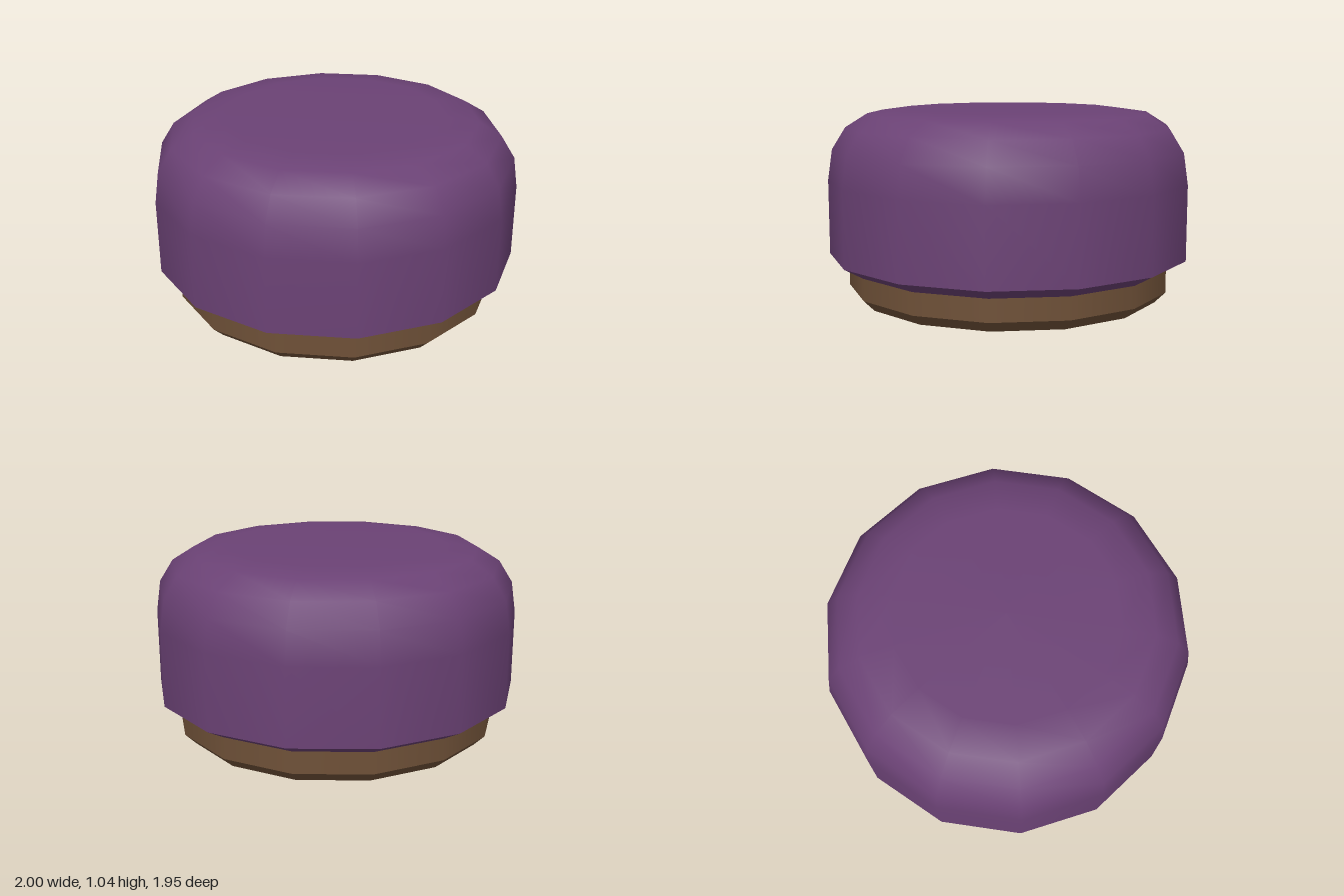
import * as THREE from 'three';

const SIDES = 14;
const purple = new THREE.MeshStandardMaterial({ color: 0x6b4275 });
const brown = new THREE.MeshStandardMaterial({ color: 0x6f5138 });

// Smooth band turned from a bottom-to-top profile, with a corner on the x axis
function band(name, profile, material) {
  const points = profile.map(([r, y]) => new THREE.Vector2(r, y));
  const geometry = new THREE.LatheGeometry(points, SIDES).rotateY(Math.PI / 2);
  const mesh = new THREE.Mesh(geometry, material);
  mesh.name = name;
  return mesh;
}

// Downward-facing piece of the bottom, spanning rim corners first..last
function bottomPiece(name, radius, first, last, material) {
  const corners = [];
  for (let i = first; i <= last; i++) {
    const a = (i / SIDES) * Math.PI * 2;
    corners.push(new THREE.Vector2(radius * Math.cos(a), radius * Math.sin(a)));
  }
  const geometry = new THREE.ShapeGeometry(new THREE.Shape(corners)).rotateX(Math.PI / 2);
  const mesh = new THREE.Mesh(geometry, material);
  mesh.name = name;
  return mesh;
}

export function createModel() {
  const model = new THREE.Group();
  model.name = 'pouf';

  // Padded cushion: rounded top and sides, then a sharp bevel underneath
  const cushion = new THREE.Group();
  cushion.name = 'cushion';
  cushion.add(
    band('cushionBody', [
      [1, 0.24], [1, 0.65], [0.975, 0.82], [0.9, 0.94],
      [0.78, 1.015], [0.6, 1.04], [0, 1.04],
    ], purple),
    band('cushionUnderside', [[0.895, 0.18], [1, 0.24]], purple),
  );

  // Wooden base with a bevelled foot
  const base = new THREE.Group();
  base.name = 'base';
  base.add(
    band('baseWall', [[0.895, 0.06], [0.895, 0.18]], brown),
    band('baseBevel', [[0.835, 0], [0.895, 0.06]], brown),
    // The bottom is mostly cloth, with a small wooden segment at one side
    bottomPiece('bottomCloth', 0.835, 2, SIDES - 1, purple),
    bottomPiece('bottomWood', 0.835, -1, 2, brown),
  );

  model.add(cushion, base);
  return model;
}
